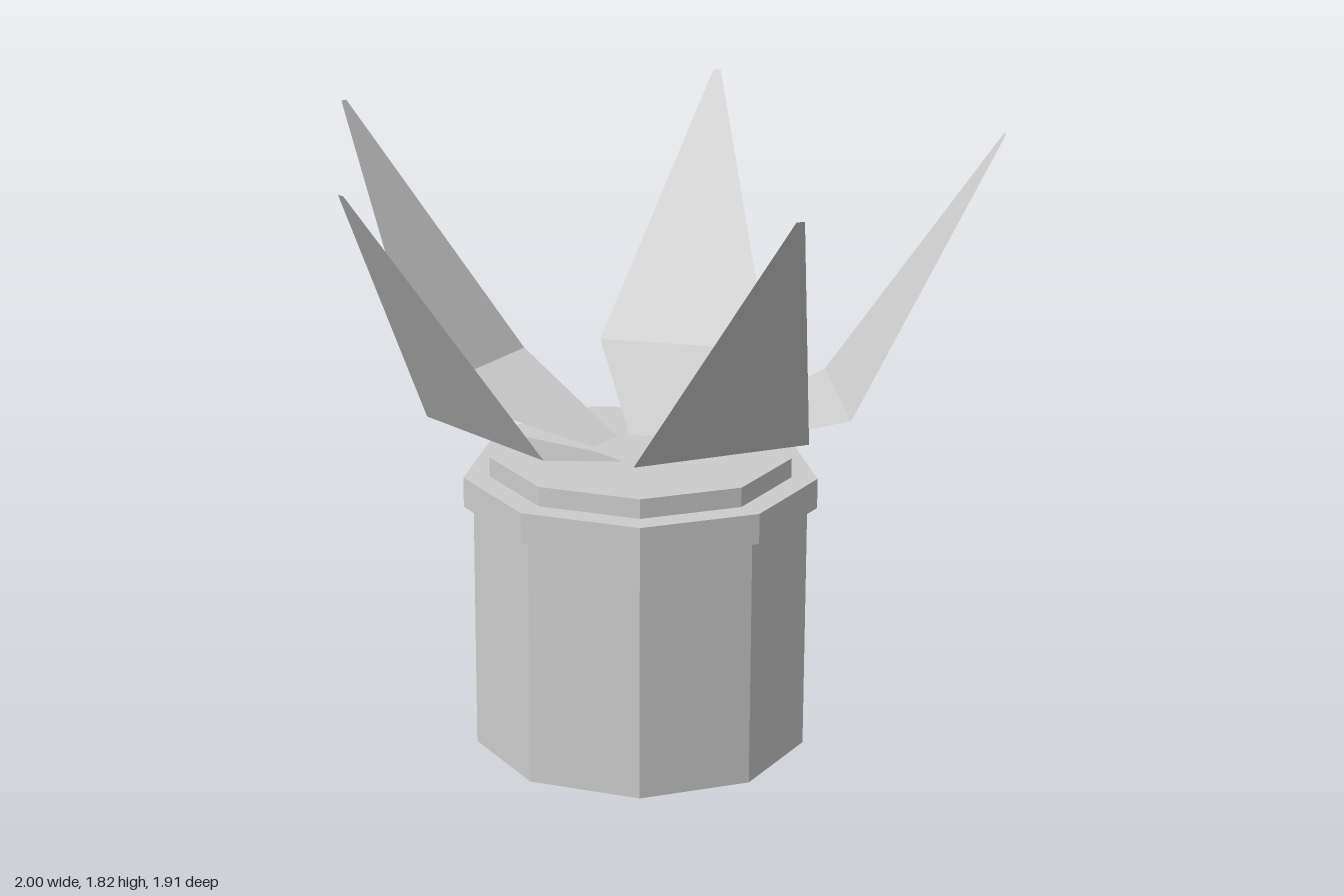
import * as THREE from 'three';

const CX = -0.006, CZ = -0.09;

export function createModel() {
  const model = new THREE.Group();
  model.name = 'pottedPlant';

  const grey = new THREE.MeshStandardMaterial({ color: 0xcccccc, flatShading: true, side: THREE.DoubleSide });
  grey.name = 'grey';

  // Nine-sided pot tiers: name, radius, bottom, top
  const tiers = [
    ['potBody', 0.495, 0, 0.745],
    ['potRim', 0.524, 0.745, 0.835],
    ['potCap', 0.447, 0.835, 0.893],
  ];
  for (const [name, radius, y0, y1] of tiers) {
    const geo = new THREE.CylinderGeometry(radius, radius, y1 - y0, 9, 1, false, THREE.MathUtils.degToRad(10));
    const mesh = new THREE.Mesh(geo, grey);
    mesh.name = name;
    mesh.position.set(CX, (y0 + y1) / 2, CZ);
    model.add(mesh);
  }

  // Leaf cross edges from root to tip: half width, height, distance from the centre
  const edges = [
    [0.062, 0.897, 0.12],
    [0.265, 1.05, 0.58],
    [0.012, 1.82, 1.047],
  ];
  const points = [];
  for (let i = 0; i < edges.length - 1; i++) {
    const [w0, y0, z0] = edges[i], [w1, y1, z1] = edges[i + 1];
    points.push(-w0, y0, z0, w0, y0, z0, w1, y1, z1);
    points.push(-w0, y0, z0, w1, y1, z1, -w1, y1, z1);
  }
  const leafGeo = new THREE.BufferGeometry();
  leafGeo.setAttribute('position', new THREE.Float32BufferAttribute(points, 3));
  leafGeo.computeVertexNormals();

  // Five leaves around the centre, joined by a flat hub
  const crown = new THREE.Group();
  crown.name = 'leafCrown';
  crown.position.set(CX, 0, CZ);
  crown.rotation.y = THREE.MathUtils.degToRad(1);
  const hubShape = [];
  const [rootWidth, rootY, rootZ] = edges[0];
  for (let i = 0; i < 5; i++) {
    const a = (i * Math.PI * 2) / 5;
    const leaf = new THREE.Mesh(leafGeo, grey);
    leaf.name = 'leaf' + (i + 1);
    leaf.rotation.y = a;
    crown.add(leaf);
    for (const w of [-rootWidth, rootWidth]) {
      const p = new THREE.Vector3(w, 0, rootZ).applyAxisAngle(new THREE.Vector3(0, 1, 0), a);
      hubShape.push(new THREE.Vector2(p.x, -p.z));
    }
  }
  const hub = new THREE.Mesh(new THREE.ShapeGeometry(new THREE.Shape(hubShape)).rotateX(-Math.PI / 2), grey);
  hub.name = 'leafHub';
  hub.position.y = rootY;
  crown.add(hub);
  model.add(crown);

  return model;
}
